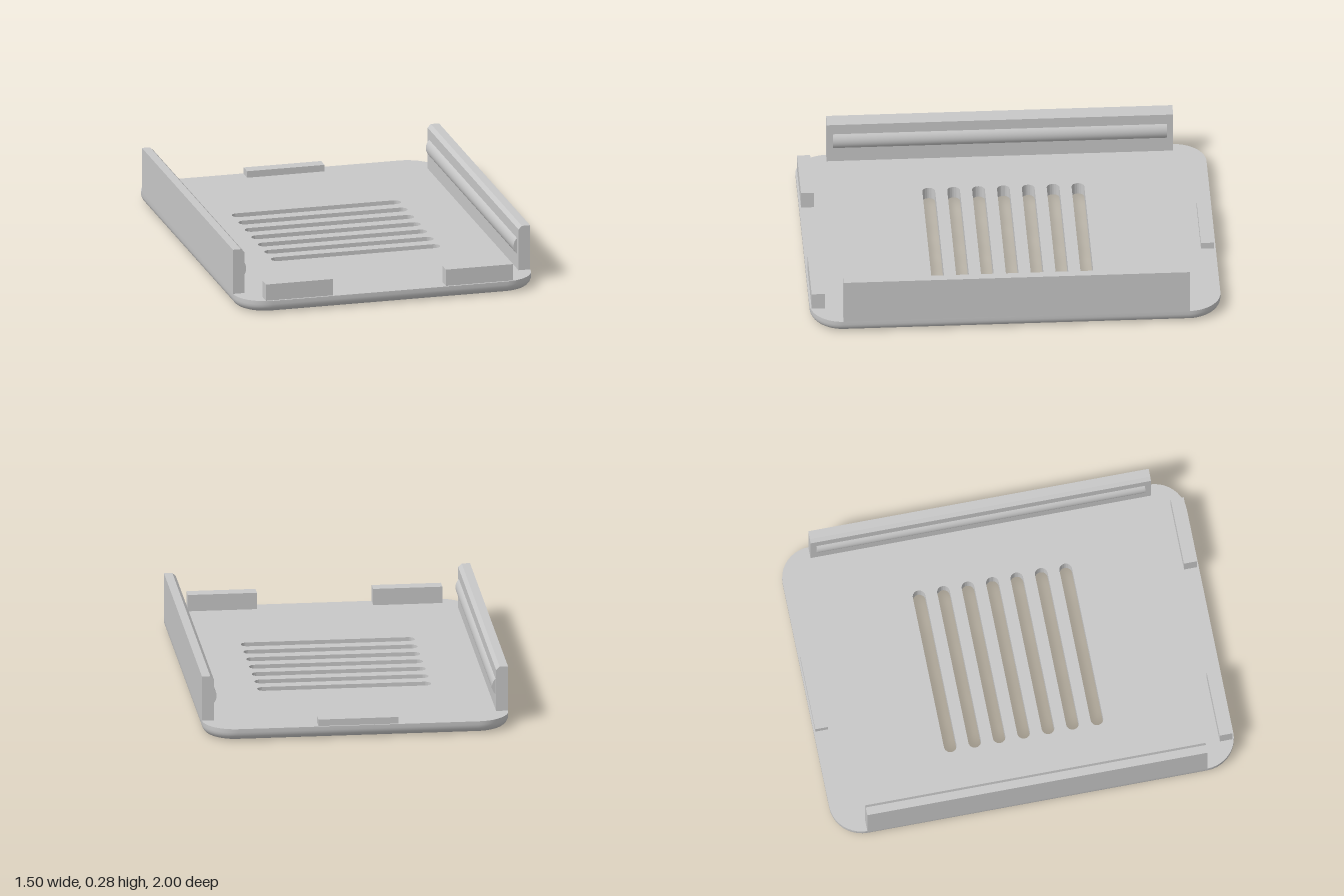
import * as THREE from 'three';
import { toCreasedNormals } from 'three/addons/utils/BufferGeometryUtils.js';

const W = 0.748, L = 1, T = 0.06;     // half width, half length, plate thickness
const CORNER = 0.16, FILLET = 0.042;  // plan corner radius, lower edge radius
const CREASE = 0.6;

// Rounded-rectangle outline, pulled inwards by d
function outline(d) {
  const points = [], r = CORNER - d, steps = 10;
  const corners = [[1, 1], [-1, 1], [-1, -1], [1, -1]];
  corners.forEach(([sx, sz], c) => {
    for (let i = 0; i <= steps; i++) {
      const t = (c + i / steps) * Math.PI / 2;
      points.push(new THREE.Vector2(
        sx * (W - CORNER) + r * Math.cos(t), sz * (L - CORNER) + r * Math.sin(t)));
    }
  });
  return points;
}

// Flat middle of the plate with rounded vent slots
function plateGeometry() {
  const shape = new THREE.Shape(outline(FILLET));
  const r = 0.031, half = 0.425 - r;
  for (let i = -3; i <= 3; i++) {
    const z = i * 0.121;
    const slot = new THREE.Path();
    slot.absarc(half, z, r, -Math.PI / 2, Math.PI / 2, false);
    slot.absarc(-half, z, r, Math.PI / 2, Math.PI * 1.5, false);
    slot.closePath();
    shape.holes.push(slot);
  }
  const g = new THREE.ExtrudeGeometry(shape, { depth: T, bevelEnabled: false, curveSegments: 12 });
  g.rotateX(-Math.PI / 2);
  return toCreasedNormals(g, CREASE);
}

// Rim around the plate: rounded below, sharp on top
function rimGeometry() {
  const profile = [];
  for (let i = 0; i <= 6; i++) {
    const t = i / 6 * Math.PI / 2;
    profile.push([FILLET * (1 - Math.sin(t)), FILLET * (1 - Math.cos(t))]);
  }
  profile.push([0, T], [FILLET, T]);
  const positions = [], index = [];
  let n = 0;
  for (const [inset, y] of profile) {
    const ring = outline(inset);
    n = ring.length;
    for (const p of ring) positions.push(p.x, y, p.y);
  }
  for (let j = 0; j < profile.length - 1; j++) {
    for (let i = 0; i < n; i++) {
      const a = j * n + i, b = j * n + (i + 1) % n;
      index.push(a, a + n, b, b, a + n, b + n);
    }
  }
  const g = new THREE.BufferGeometry();
  g.setAttribute('position', new THREE.Float32BufferAttribute(positions, 3));
  g.setIndex(index);
  return toCreasedNormals(g, CREASE);
}

// Extrudes an xy section along z, centred on z = 0
function bar(shape, length) {
  const g = new THREE.ExtrudeGeometry(shape, { depth: length, bevelEnabled: false });
  g.translate(0, 0, -length / 2);
  return toCreasedNormals(g, CREASE);
}

export function createModel() {
  const group = new THREE.Group();
  const grey = new THREE.MeshStandardMaterial({ color: 0xc8c8c8 });
  grey.name = 'light grey plastic';

  const add = (name, geometry) => {
    const mesh = new THREE.Mesh(geometry, grey);
    mesh.name = name;
    group.add(mesh);
    return mesh;
  };

  add('ventedPlate', plateGeometry());
  add('plateRim', rimGeometry());

  for (const [side, s] of [['left', 1], ['right', -1]]) {
    // Side wall with a chamfered inner top edge
    const section = [[0.69, T], [W, T], [W, 0.285], [0.707, 0.285], [0.69, 0.268]];
    add(side + 'Wall', bar(new THREE.Shape(
      section.map(([x, y]) => new THREE.Vector2(s * x, y))), 1.685));

    // Snap ridge bulging from the inner face
    const ridge = [], R = 0.0556, reach = Math.asin(0.04 / R);
    for (let i = 0; i <= 10; i++) {
      const t = (i / 5 - 1) * reach;
      ridge.push(new THREE.Vector2(s * (0.673 + R - R * Math.cos(t)), 0.175 + R * Math.sin(t)));
    }
    ridge.push(new THREE.Vector2(s * 0.7, 0.215), new THREE.Vector2(s * 0.7, 0.135));
    add(side + 'SnapRidge', bar(new THREE.Shape(ridge), 1.625));

    // Front locating tab
    add(side + 'FrontTab', new THREE.BoxGeometry(0.338, 0.083, 0.064))
      .position.set(s * 0.453, T + 0.0415, 0.959);
  }

  // Low rear tab
  add('rearTab', new THREE.BoxGeometry(0.39, 0.033, 0.064)).position.set(0, T + 0.0165, -0.96);

  return group;
}
